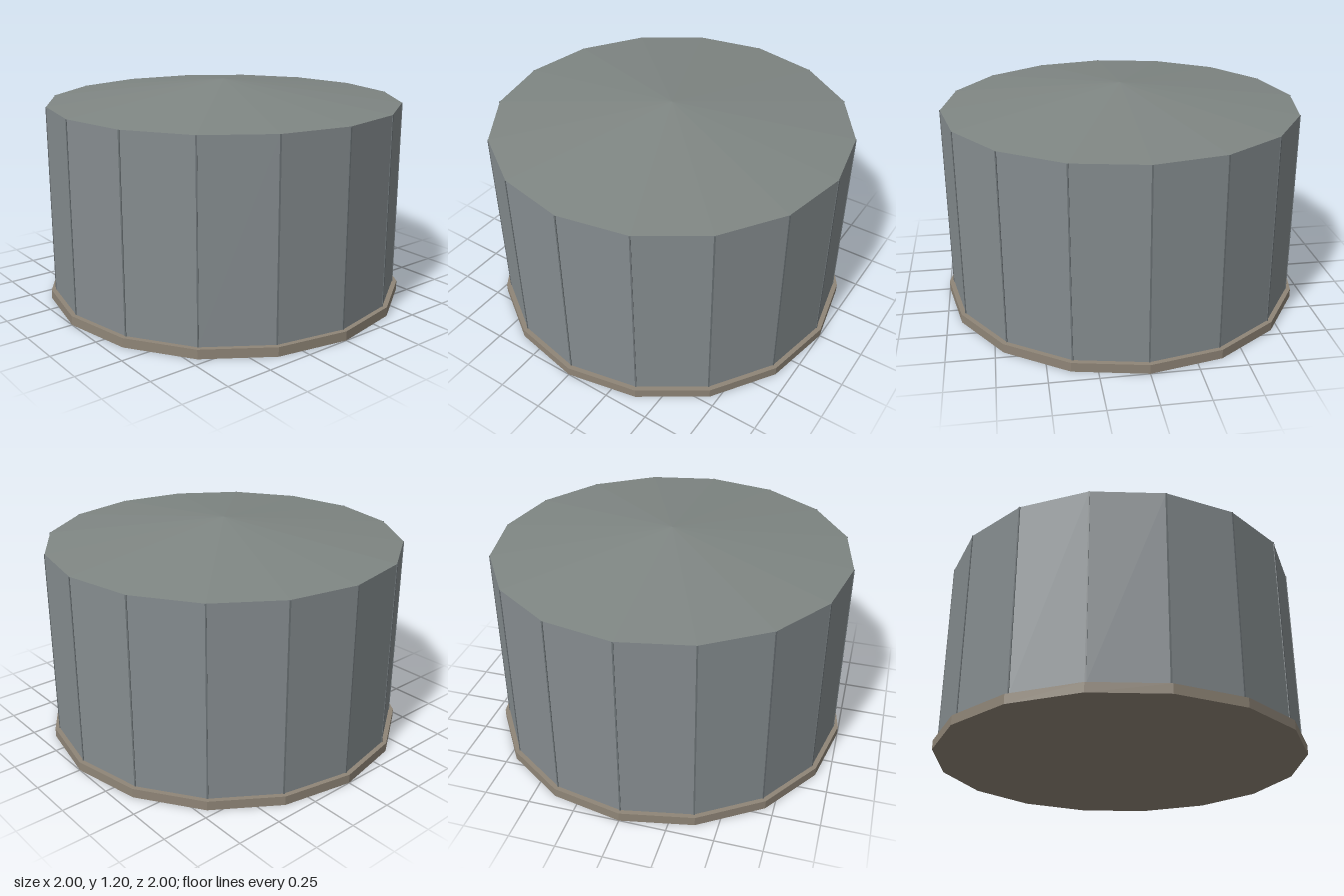
import * as THREE from 'three';

const SIDES = 16;
const BASE_H = 0.05, EAVES = 1.085, PEAK = 1.2, WALL_R = 0.974;

const paint = (color) => new THREE.MeshStandardMaterial({ color, flatShading: true });

function addMesh(parent, name, geometry, material, y) {
  const mesh = new THREE.Mesh(geometry, material);
  mesh.name = name;
  mesh.position.y = y;
  parent.add(mesh);
  return mesh;
}

export function createModel() {
  const tank = new THREE.Group();
  tank.name = 'storageTank';
  const wallH = EAVES - BASE_H;

  // Foundation slab, slightly wider than the wall
  addMesh(tank, 'foundation', new THREE.CylinderGeometry(1, 1, BASE_H, SIDES), paint(0x8f8577), BASE_H / 2);

  // Sixteen-sided wall
  addMesh(tank, 'wall', new THREE.CylinderGeometry(WALL_R, WALL_R, wallH, SIDES, 1, true),
    paint(0x858c8f), BASE_H + wallH / 2);

  // Shallow conical roof
  addMesh(tank, 'roof', new THREE.ConeGeometry(WALL_R, PEAK - EAVES, SIDES),
    paint(0x7f8683), (EAVES + PEAK) / 2);

  // Thin vertical seam strip on every corner of the wall
  const seams = new THREE.Group();
  seams.name = 'wallSeams';
  const seamGeometry = new THREE.BoxGeometry(0.008, wallH, 0.012);
  const seamMaterial = paint(0x6b7275);
  for (let i = 0; i < SIDES; i++) {
    const a = (i / SIDES) * Math.PI * 2;
    const r = WALL_R - 0.003;
    const seam = addMesh(seams, 'seam', seamGeometry, seamMaterial, BASE_H + wallH / 2);
    seam.position.x = Math.sin(a) * r;
    seam.position.z = Math.cos(a) * r;
    seam.rotation.y = a;
  }
  tank.add(seams);

  return tank;
}
